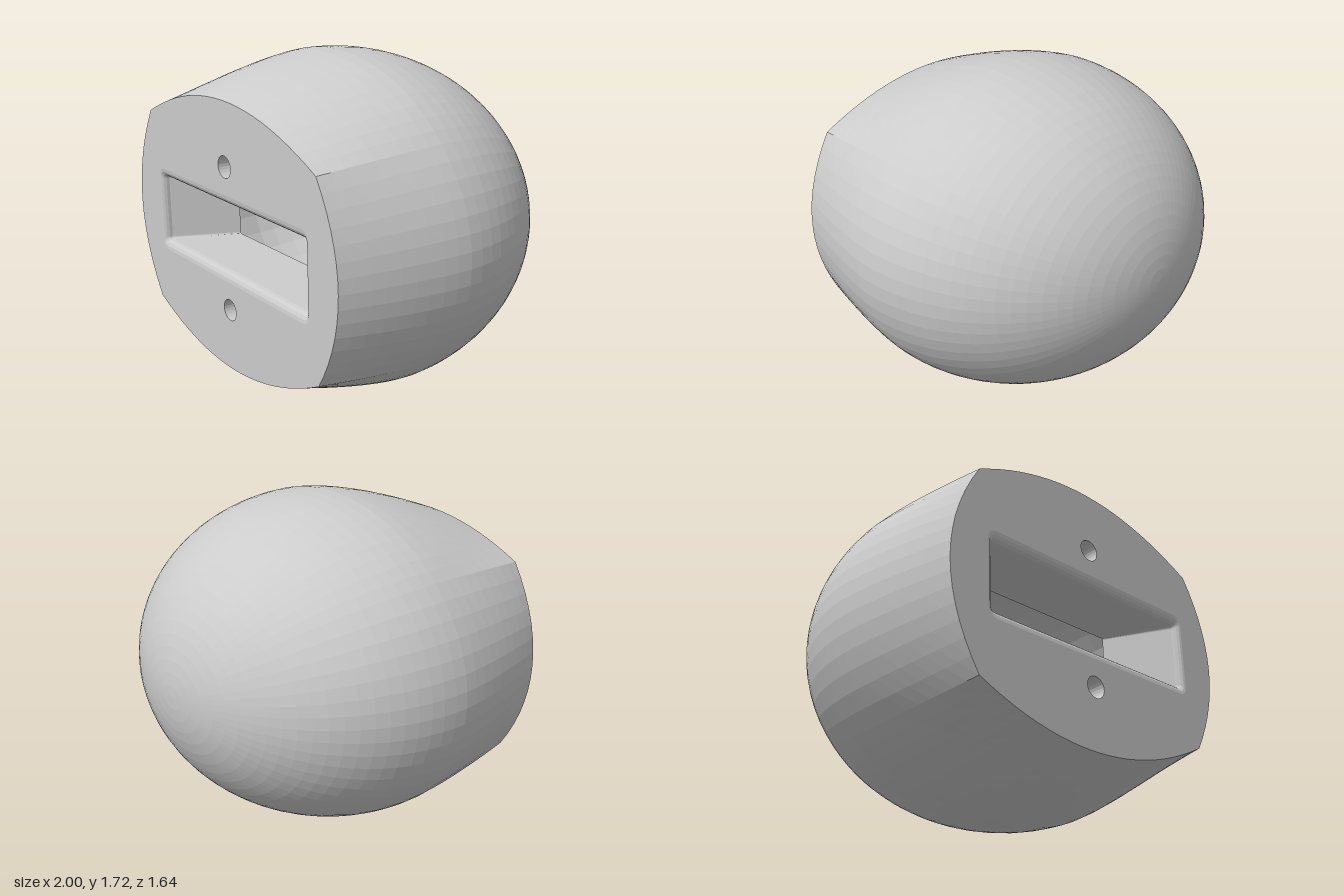
import * as THREE from 'three';

const CY = 0.862, CZ = 0.17, FRONT = 0.82, PLATE_BACK = 0.47;
const flat = () => new THREE.MeshStandardMaterial({ color: 0xcccccc, flatShading: true });

// Skin closed rings that run from front to back; inward = true for cavities
function loft(name, rings, inward = false) {
  const n = rings[0].length, pos = [], idx = [];
  rings.forEach(r => r.forEach(p => pos.push(p.x, p.y, p.z)));
  for (let i = 0; i < rings.length - 1; i++) {
    for (let j = 0; j < n; j++) {
      const a = i * n + j, b = i * n + (j + 1) % n, c = a + n, d = b + n;
      if (inward) idx.push(a, b, c, b, d, c);
      else idx.push(a, c, b, b, c, d);
    }
  }
  const g = new THREE.BufferGeometry();
  g.setAttribute('position', new THREE.Float32BufferAttribute(pos, 3));
  g.setIndex(idx);
  g.computeVertexNormals();
  const mesh = new THREE.Mesh(g, flat());
  mesh.name = name;
  return mesh;
}

// Front outline: four shallow arcs meeting at corners, counter-clockwise
function frontOutline() {
  const V = (x, y) => new THREE.Vector2(x, y);
  const corners = [V(0.72, -0.483), V(0.72, 0.487), V(-0.71, 0.517), V(-0.71, -0.513)];
  const peaks = [V(0.867, 0), V(0, 0.687), V(-0.873, 0), V(0, -0.683)];
  const pts = [];
  corners.forEach((a, i) => {
    const b = corners[(i + 1) % 4];
    const control = peaks[i].clone().multiplyScalar(2).sub(a.clone().add(b).multiplyScalar(0.5));
    const arc = new THREE.QuadraticBezierCurve(a, control, b).getPoints(i % 2 ? 22 : 14);
    pts.push(...arc.slice(0, -1));
  });
  return pts;
}

// Project a direction onto an ellipse
const onEllipse = (p, rx, ry) => p.clone().divideScalar(Math.hypot(p.x / rx, p.y / ry));

const circle = (x, y, r, n = 24) => Array.from({ length: n }, (_, i) => {
  const a = i / n * Math.PI * 2;
  return new THREE.Vector2(x + r * Math.cos(a), y + r * Math.sin(a));
});

function roundedRect(hw, hh, r, y = 0) {
  const pts = [];
  [[1, 1], [-1, 1], [-1, -1], [1, -1]].forEach(([sx, sy], k) => {
    for (let i = 0; i <= 5; i++) {
      const a = (k + i / 5) * Math.PI / 2;
      pts.push(new THREE.Vector2(sx * (hw - r) + r * Math.cos(a), y + sy * (hh - r) + r * Math.sin(a)));
    }
  });
  return pts;
}

const ringAt = (pts, z) => pts.map(p => new THREE.Vector3(p.x, CY + p.y, z));

function plate(name, outline, holes, z, facesBack) {
  const shape = new THREE.Shape(outline);
  holes.forEach(h => shape.holes.push(new THREE.Path(h)));
  const mesh = new THREE.Mesh(new THREE.ShapeGeometry(shape), flat());
  if (facesBack) mesh.material.side = THREE.BackSide;
  mesh.position.set(0, CY, z);
  mesh.name = name;
  return mesh;
}

export function createModel() {
  const group = new THREE.Group();
  const outline = frontOutline();

  // Outer shell: front outline swells into an ellipse, then closes as a dome
  const rings = [];
  for (let i = 0; i < 9; i++) {
    const u = 1 - i / 9, t = Math.pow(u, 1.45);
    rings.push(ringAt(outline.map(p => onEllipse(p, 1, 0.86).lerp(p, t)), CZ + (FRONT - CZ) * u));
  }
  for (let i = 0; i <= 22; i++) {
    const a = i / 22 * Math.PI / 2, s = Math.max(Math.cos(a), 1e-4);
    rings.push(ringAt(outline.map(p => onEllipse(p, s, 0.86 * s)), CZ - 0.99 * Math.sin(a)));
  }
  group.add(loft('outerShell', rings));

  // Slot with a rounded lip, tapering towards the hollow
  const slotRings = [];
  for (let i = 0; i <= 4; i++) {
    const a = i / 4 * Math.PI / 2, k = 1 - Math.sin(a);
    slotRings.push([roundedRect(0.628 + 0.03 * k, 0.175 + 0.047 * k, 0.015 + 0.035 * k, 0.004),
      FRONT - 0.04 * (1 - Math.cos(a))]);
  }
  const slotEnd = roundedRect(0.445, 0.165, 0.008, 0.004);
  slotRings.push([slotEnd, PLATE_BACK]);
  group.add(loft('slotWalls', slotRings.map(([p, z]) => ringAt(p, z)), true));

  // Two round bores above and below the slot
  const bores = [0.367, -0.363].map(y => circle(-0.007, y, 0.055));
  bores.forEach((b, i) => group.add(
    loft(i ? 'lowerBore' : 'upperBore', [ringAt(b, FRONT), ringAt(b, PLATE_BACK)], true)));

  group.add(plate('frontFace', outline, [slotRings[0][0], ...bores], FRONT, false));

  // Domed hollow behind the front wall
  const hollow = [];
  const hollowRing = (s, z) => hollow.push(ringAt(circle(0, 0, 1, 48).map(p => onEllipse(p, 0.8 * s, 0.66 * s)), z));
  hollowRing(0.95, PLATE_BACK);
  for (let i = 0; i <= 14; i++) {
    const a = i / 14 * Math.PI / 2;
    hollowRing(Math.max(Math.cos(a), 1e-4), CZ - 0.8 * Math.sin(a));
  }
  group.add(loft('innerHollow', hollow, true));
  const rim = circle(0, 0, 1, 48).map(p => onEllipse(p, 0.76, 0.627));
  group.add(plate('frontWallBack', rim, [slotEnd, ...bores], PLATE_BACK, true));

  return group;
}
